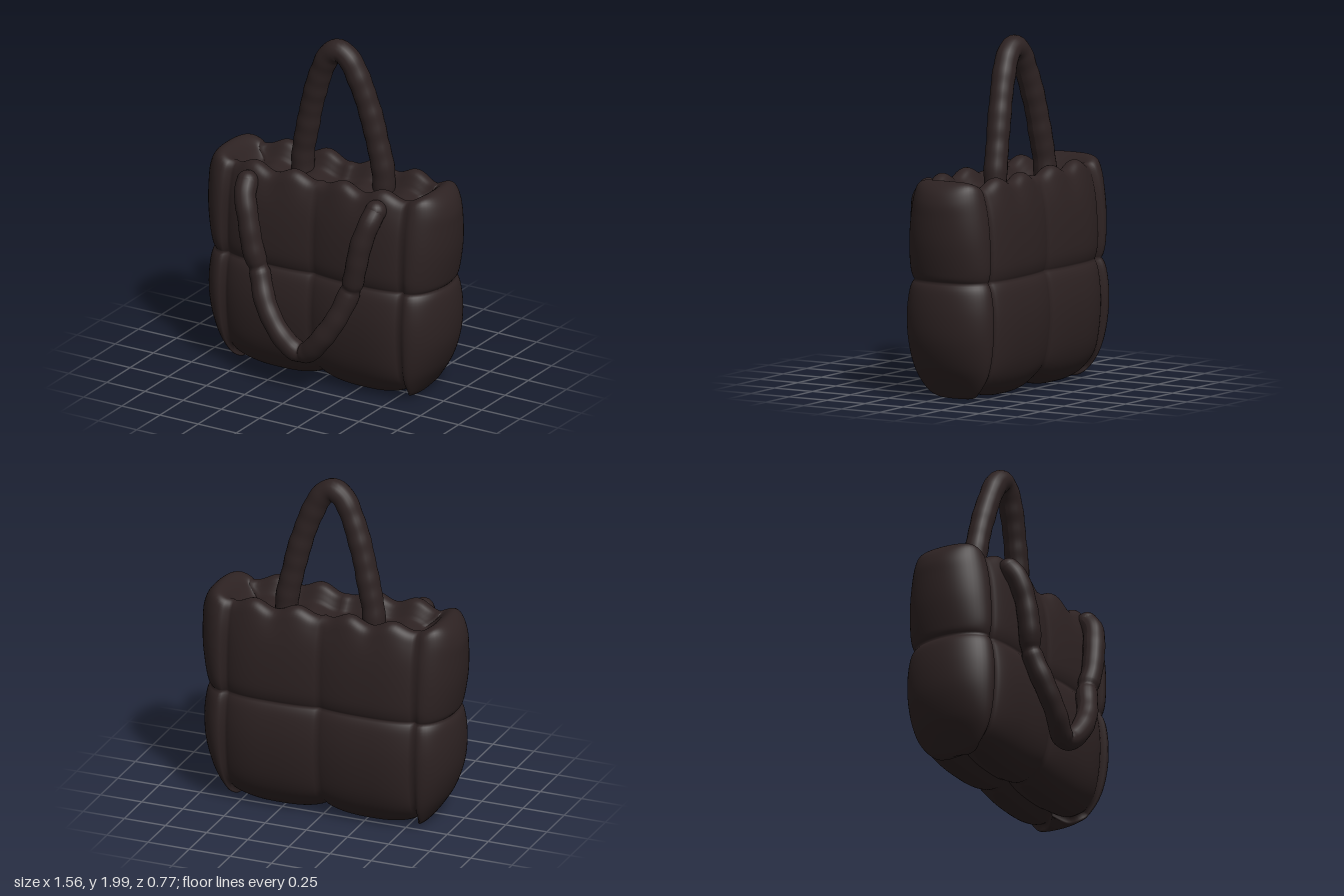
import * as THREE from 'three';

const fabric = new THREE.MeshStandardMaterial({ color: 0x2d2222 });
fabric.name = 'dark brown fabric';

const V = (x, y, z) => new THREE.Vector3(x, y, z);
const CENTER_Z = -0.073;

// Height, half width and half depth of the quilted rows, from the base up
const lowerRow = [
  [0.05, 0.5, 0], [0.012, 0.56, 0.08], [0.022, 0.58, 0.15], [0.1, 0.64, 0.232], [0.2, 0.70, 0.28],
  [0.35, 0.75, 0.308], [0.5, 0.762, 0.312], [0.62, 0.75, 0.295], [0.66, 0.737, 0.28], [0.68, 0.72, 0.265],
];
const upperRow = [
  [0.68, 0.72, 0.265], [0.70, 0.738, 0.275], [0.75, 0.752, 0.287], [0.9, 0.777, 0.288], [1.05, 0.782, 0.273],
  [1.15, 0.776, 0.25], [1.205, 0.75, 0.228], [1.232, 0.69, 0.19], [1.222, 0.62, 0.145],
  [1.18, 0.57, 0.115], [1.15, 0.54, 0.09], [1.14, 0.5, 0],
];

function sampleRow(row, n) {
  return new THREE.CatmullRomCurve3(row.map(p => V(...p)), false, 'centripetal').getSpacedPoints(n);
}

// Puff of a front or back panel: 0 at its seams, 1 in between
const puff = u => Math.pow(1 - Math.pow(Math.abs(2 * u - 1), 2.6), 0.8);

function bodyRing(y, w, d) {
  const ring = [], half = Math.min(0.57, w - 0.03);
  const low = 1 - THREE.MathUtils.smoothstep(y, 0.0, 0.2);
  const high = THREE.MathUtils.smoothstep(y, 1.0, 1.23);
  const add = (x, z, lift) => {
    const wave = 0.022 * Math.cos(2 * Math.PI * (Math.abs(x) - 0.16) / 0.26);
    ring.push(V(x, y + lift * low + wave * high, z + CENTER_Z));
  };
  const panels = 56, sides = 28;
  for (const s of [1, -1]) {
    // front or back panel, pinched at the middle and edge seams
    for (let i = 0; i < panels; i++) {
      const t = -1 + 2 * i / panels, u = Math.abs(t), q = puff(u);
      const base = THREE.MathUtils.lerp(0.89, 0.82, u);
      add(s * t * half, s * d * (base + (1 - base) * q), 0.045 * (1 - q));
    }
    // rounded side panel, swelling out from its edge seams
    for (let i = 0; i < sides; i++) {
      const a = Math.PI * i / sides, edge = Math.min(a, Math.PI - a);
      const k = 0.915 - 0.095 * Math.exp(-edge / 0.09);
      add(s * (half + (w - half) * Math.pow(Math.sin(a), 0.9)),
        s * d * k * Math.cos(a), 0.045 * Math.exp(-edge / 0.09));
    }
  }
  return ring;
}

function bodyGeometry() {
  const levels = [...sampleRow(lowerRow, 50), ...sampleRow(upperRow, 64).slice(1)];
  const rings = levels.map(p => bodyRing(p.x, p.y, p.z));
  const n = rings[0].length, index = [];
  for (let i = 0; i < rings.length - 1; i++) {
    for (let j = 0; j < n; j++) {
      const a = i * n + j, b = i * n + (j + 1) % n;
      index.push(a, b, b + n, a, b + n, a + n);
    }
  }
  const g = new THREE.BufferGeometry().setFromPoints(rings.flat());
  g.setIndex(index);
  g.computeVertexNormals();
  return g;
}

// Padded strap: a tube with soft wrinkles, seam pinches and round ends
function strap(name, points, radius, seams) {
  const group = new THREE.Group();
  group.name = name;
  const curve = new THREE.CatmullRomCurve3(points);
  const g = new THREE.TubeGeometry(curve, 140, radius, 20);
  const pos = g.attributes.position, uv = g.attributes.uv, v = V(0, 0, 0);
  for (let i = 0; i < pos.count; i++) {
    const u = uv.getX(i), c = curve.getPointAt(u);
    let k = 1 + 0.035 * Math.sin(u * 75) * Math.cos(u * 31);
    for (const s of seams) k -= 0.14 * Math.exp(-Math.pow((u - s) / 0.01, 2));
    v.fromBufferAttribute(pos, i).sub(c).multiplyScalar(k).add(c);
    pos.setXYZ(i, v.x, v.y, v.z);
  }
  g.computeVertexNormals();
  const tube = new THREE.Mesh(g, fabric);
  tube.name = name + 'Tube';
  group.add(tube);
  for (const p of [points[0], points[points.length - 1]]) {
    const end = new THREE.Mesh(new THREE.SphereGeometry(radius, 20, 14), fabric);
    end.name = name + 'End';
    end.position.copy(p);
    group.add(end);
  }
  return group;
}

// Mirrors half a path, listed from its end to its middle
const mirrored = half => [
  ...half.map(p => V(-p[0], p[1], p[2])),
  ...half.slice(0, -1).reverse().map(p => V(...p)),
];

export function createModel() {
  const model = new THREE.Group();
  model.name = 'paddedToteBag';

  const body = new THREE.Mesh(bodyGeometry(), fabric);
  body.name = 'quiltedBody';
  model.add(body);

  // Raised back handle
  model.add(strap('backHandle', mirrored([
    [0.265, 1.1, -0.155], [0.262, 1.25, -0.152], [0.228, 1.42, -0.145], [0.185, 1.6, -0.135],
    [0.12, 1.79, -0.12], [0.06, 1.9, -0.112], [0, 1.934, -0.11],
  ]), 0.066, []));

  // Front handle hanging down over the panel
  model.add(strap('frontHandle', mirrored([
    [0.42, 1.16, 0.19], [0.408, 1.1, 0.235], [0.37, 0.97, 0.265], [0.335, 0.8, 0.272],
    [0.3, 0.68, 0.262], [0.23, 0.5, 0.305], [0.13, 0.35, 0.322], [0.05, 0.265, 0.305], [0, 0.247, 0.297],
  ]), 0.062, [0.235, 0.5, 0.765]));

  return model;
}
